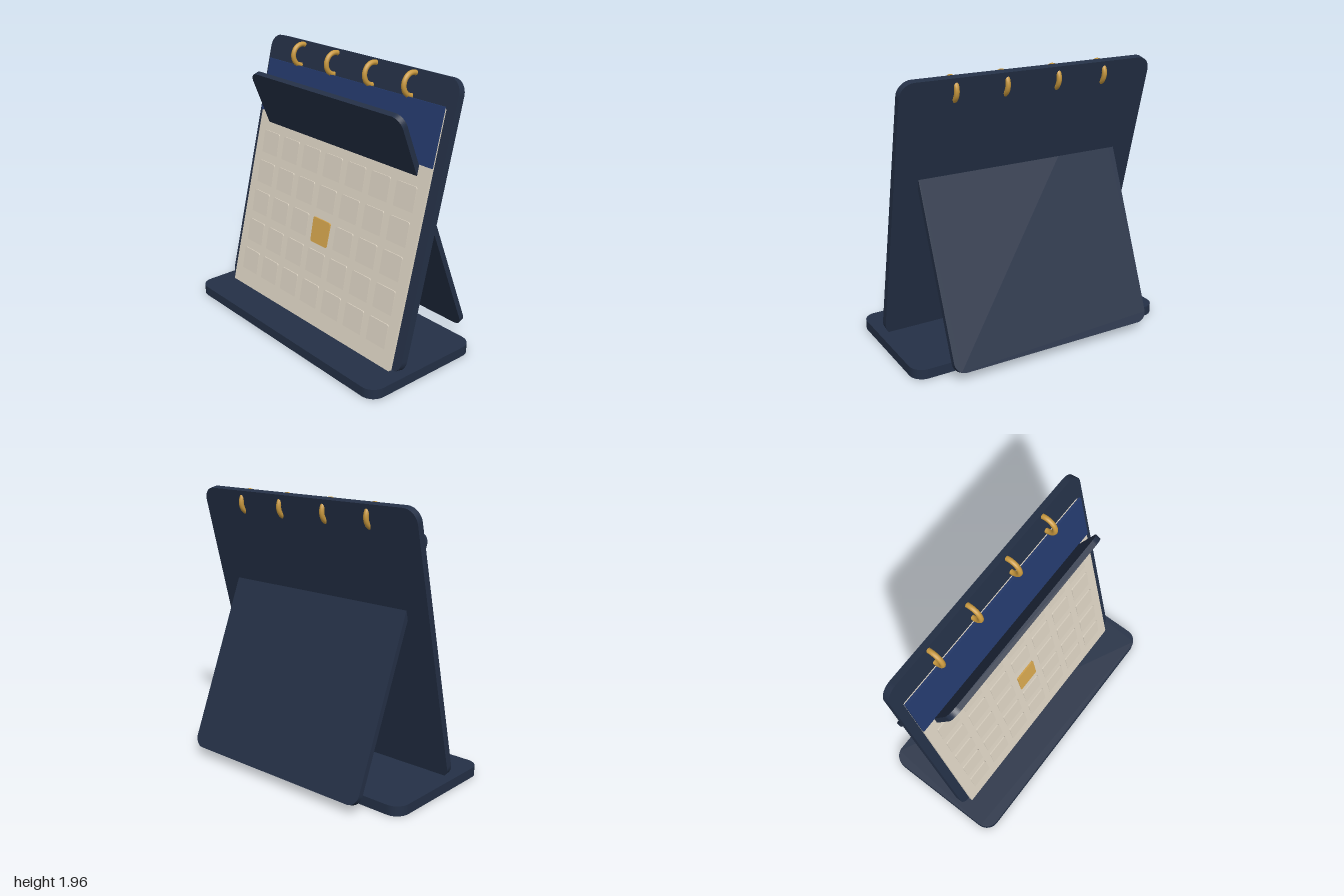
import * as THREE from 'three';

const flat = (name, color) => Object.assign(new THREE.MeshStandardMaterial({ color }), { name });

// Slab with rounded corners, centred on the origin, lying in the XY plane
function roundedSlab(w, h, t, r) {
  const x = w / 2, y = h / 2, s = new THREE.Shape();
  s.moveTo(-x + r, -y);
  s.lineTo(x - r, -y);
  s.absarc(x - r, -y + r, r, -Math.PI / 2, 0);
  s.lineTo(x, y - r);
  s.absarc(x - r, y - r, r, 0, Math.PI / 2);
  s.lineTo(-x + r, y);
  s.absarc(-x + r, y - r, r, Math.PI / 2, Math.PI);
  s.lineTo(-x, -y + r);
  s.absarc(-x + r, -y + r, r, Math.PI, Math.PI * 1.5);
  const g = new THREE.ExtrudeGeometry(s, { depth: t, bevelEnabled: false, curveSegments: 8 });
  return g.translate(0, 0, -t / 2);
}

export function createModel() {
  const navy = flat('navy board', 0x243046);
  const blue = flat('blue header', 0x243a6c);
  const cream = flat('cream paper', 0xdbd2c2);
  const amber = flat('amber marker', 0xd6a64e);
  const brass = flat('brass', 0xc8983e);

  const model = new THREE.Group();
  model.name = 'deskCalendar';
  const add = (parent, name, geometry, material, x, y, z, rx = 0) => {
    const m = new THREE.Mesh(geometry, material);
    m.name = name;
    m.position.set(x, y, z);
    m.rotation.x = rx;
    parent.add(m);
    return m;
  };

  // Base plate
  add(model, 'base', roundedSlab(2, 0.95, 0.07, 0.1), navy, 0, 0.035, 0.085, -Math.PI / 2);

  // Rear support, crossing through the board
  add(model, 'rearSupport', roundedSlab(1.565, 1.822, 0.04, 0.08), navy, 0, 0.904, -0.197, 0.385);

  // Leaning board with everything mounted on it
  const easel = new THREE.Group();
  easel.name = 'easel';
  easel.position.set(0, 1, 0.022);
  easel.rotation.x = -0.24;
  model.add(easel);
  add(easel, 'backBoard', roundedSlab(1.91, 1.965, 0.05, 0.1), navy, 0, 0, 0);

  // Page block and coloured header
  add(easel, 'page', roundedSlab(1.78, 1.766, 0.02, 0.015), cream, 0, -0.091, 0.047);
  add(easel, 'header', new THREE.BoxGeometry(1.784, 0.393, 0.018), blue, 0, 0.604, 0.058);

  // Day cells, each tipped out slightly at its top
  const cell = roundedSlab(0.18, 0.184, 0.012, 0.014);
  for (let row = 0; row < 5; row++) {
    for (let col = 0; col < 7; col++) {
      const marked = row === 2 && col === 3;
      add(easel, marked ? 'markedDay' : 'dayCell', cell, marked ? amber : cream,
        (col - 3) * 0.2395, 0.172 - row * 0.235, marked ? 0.058 : 0.055, 0.05);
    }
  }

  // Binding rings through the top of the board
  const ring = new THREE.TorusGeometry(0.076, 0.018, 12, 36).rotateY(Math.PI / 2);
  for (const x of [-0.567, -0.197, 0.197, 0.567]) {
    add(model, 'bindingRing', ring, brass, x, 1.865, -0.152);
  }
  return model;
}
